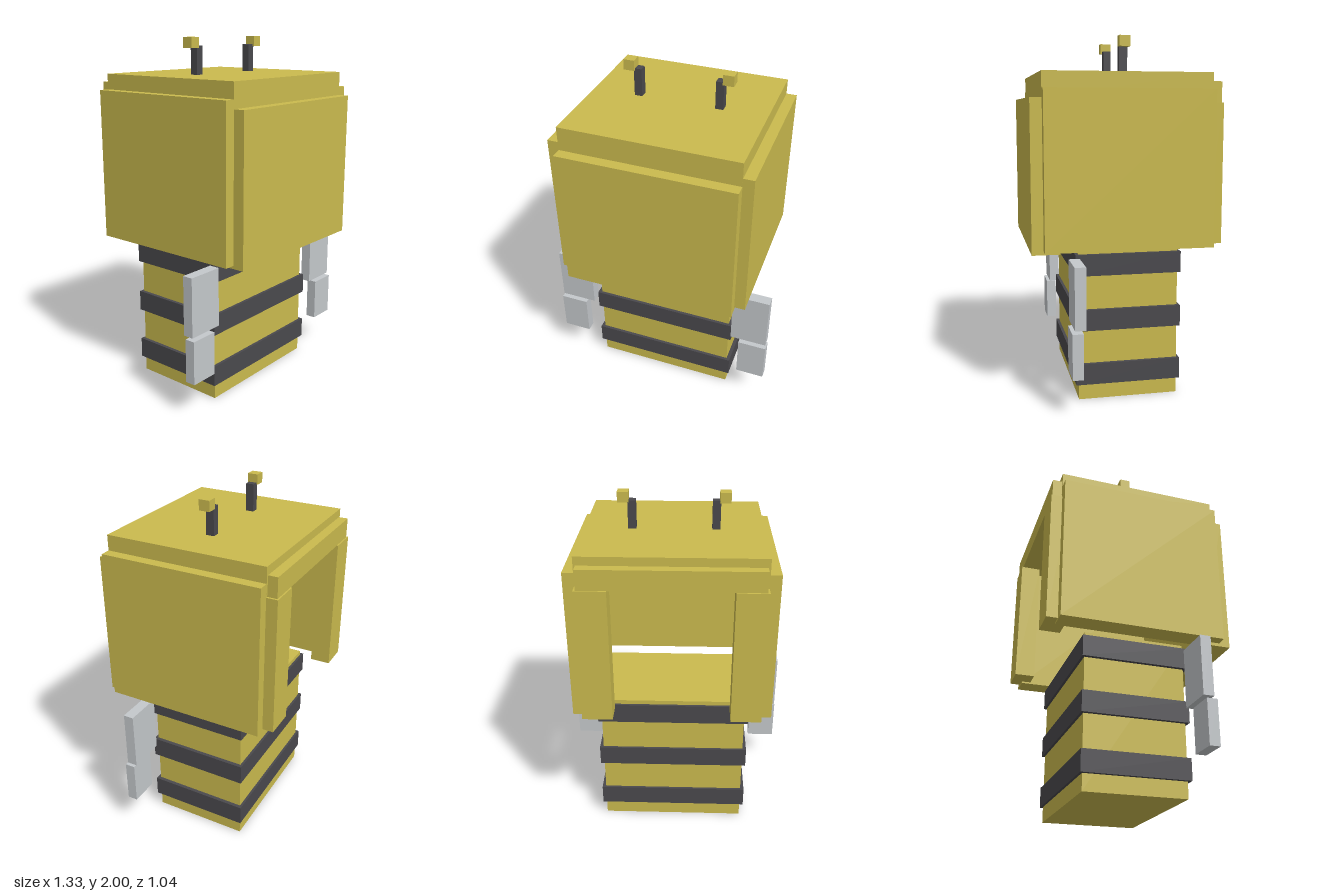
import * as THREE from 'three';

export function createModel() {
  const model = new THREE.Group();
  model.name = 'beeFigure';

  const mat = (name, color) => {
    const m = new THREE.MeshStandardMaterial({ color });
    m.name = name;
    return m;
  };
  const yellow = mat('honey yellow', 0xcaba4e);
  const dark = mat('charcoal', 0x4a494d);
  const pale = mat('pale grey', 0xc4c8cb);

  // Box given by its extents on each axis
  const box = (name, material, [x0, x1], [y0, y1], [z0, z1]) => {
    const mesh = new THREE.Mesh(new THREE.BoxGeometry(x1 - x0, y1 - y0, z1 - z0), material);
    mesh.position.set((x0 + x1) / 2, (y0 + y1) / 2, (z0 + z1) / 2);
    mesh.name = name;
    model.add(mesh);
  };
  // The same box on both sides of x = 0
  const pair = (name, material, [x0, x1], y, z) => {
    box(name + 'Left', material, [x0, x1], y, z);
    box(name + 'Right', material, [-x1, -x0], y, z);
  };

  // Body with raised stripes
  box('body', yellow, [-0.417, 0.417], [0, 0.848], [-0.293, 0.265]);
  [0.09, 0.397, 0.705].forEach((y, i) =>
    box('stripe' + (i + 1), dark, [-0.438, 0.438], [y, y + 0.118], [-0.307, 0.282]));

  // Hollow hood: roof, sides, front, and an open back framed by a lintel and posts
  box('hoodRoof', yellow, [-0.49, 0.49], [1.655, 1.797], [-0.46, 0.46]);
  pair('hoodSide', yellow, [0.43, 0.55], [0.86, 1.71], [-0.459, 0.459]);
  box('hoodFront', yellow, [-0.49, 0.49], [0.842, 1.663], [0.37, 0.522]);
  box('hoodLintel', yellow, [-0.478, 0.478], [1.637, 1.75], [-0.513, -0.4]);
  pair('hoodPost', yellow, [0.322, 0.49], [0.87, 1.638], [-0.521, -0.405]);

  // Antennae
  pair('antennaStalk', dark, [0.206, 0.25], [1.79, 1.953], [-0.042, 0.004]);
  pair('antennaTip', yellow, [0.244, 0.304], [1.942, 2], [-0.048, 0.013]);

  // Two-part wings
  pair('upperWing', pale, [0.447, 0.66], [0.473, 0.806], [0.262, 0.322]);
  pair('lowerWing', pale, [0.5, 0.665], [0.21, 0.457], [0.277, 0.336]);

  return model;
}
